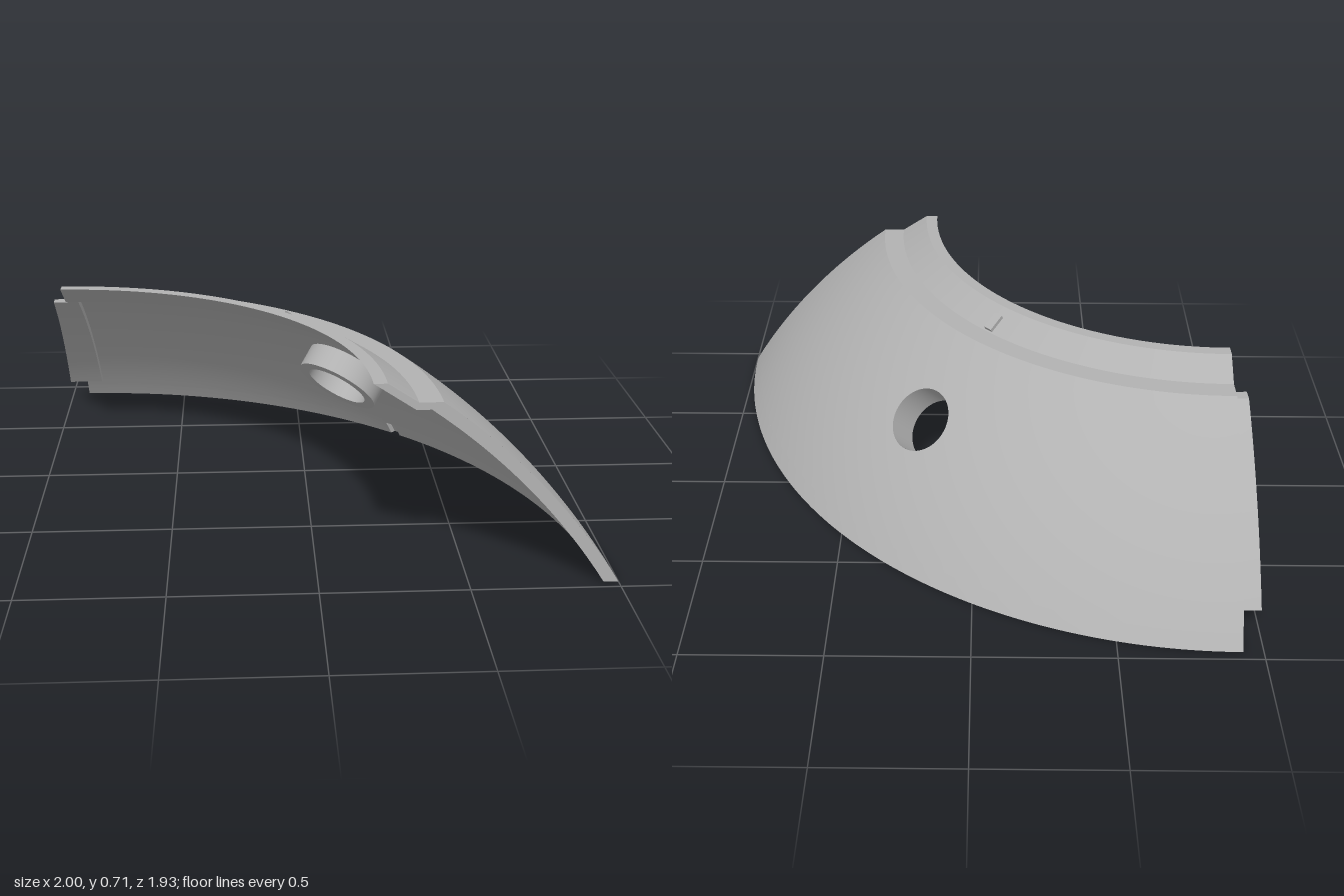
import * as THREE from 'three';

const grey = new THREE.MeshStandardMaterial({ color: 0xb2b2b2, side: THREE.DoubleSide });
grey.name = 'plain grey';

// Spherical shell: centre below the ground, outer and inner radius
const CY = -1.19, R_OUT = 2.267, R_IN = 2.225;
const START = Math.PI / 2, END = Math.PI, MID = START + Math.PI / 4;
const PATCH = 0.16;            // half angle of the panel around the port
const BAND = 0.055;            // height of the band holding the notch
const NOTCH = 0.012;           // half angle of the notch

const radiusAt = (R, y) => Math.sqrt(R * R - (y - CY) ** 2);

function arc(R, y0, y1, n = 20) {
  return Array.from({ length: n + 1 }, (_, i) => {
    const y = y0 + (y1 - y0) * i / n;
    return new THREE.Vector2(radiusAt(R, y), y);
  });
}
const line = (...p) => p.map(([x, y]) => new THREE.Vector2(x, y));

function add(parent, name, geometry) {
  const mesh = new THREE.Mesh(geometry, grey);
  mesh.name = name;
  parent.add(mesh);
  return mesh;
}

function revolve(parent, name, points, a = START, b = END) {
  const n = Math.max(2, Math.ceil((b - a) * 61));
  return add(parent, name, new THREE.LatheGeometry(points, n, a, b - a));
}

// Flat radial face from a closed profile
function endFace(parent, name, points, angle) {
  add(parent, name, new THREE.ShapeGeometry(new THREE.Shape(points))).rotation.y = angle - START;
}

const onSphere = (R, y, phi) => {
  const r = radiusAt(R, y);
  return new THREE.Vector3(r * Math.sin(phi), y - CY, r * Math.cos(phi));
};
const portAxis = onSphere(R_OUT, 0.416, MID).normalize();

// Spherical panel with a round hole, lofted from the hole to its four edges
function holedPanel(R, y0, y1, hole, inward) {
  const SIDE = 20, RINGS = 8, edge = [];
  const corners = [[-1, y0], [1, y0], [1, y1], [-1, y1]];
  for (let s = 0; s < 4; s++) {
    const [u0, v0] = corners[s], [u1, v1] = corners[(s + 1) % 4];
    for (let i = 0; i < SIDE; i++) {
      const t = i / SIDE;
      edge.push(onSphere(R, v0 + (v1 - v0) * t, MID + PATCH * (u0 + (u1 - u0) * t)));
    }
  }
  const pos = [], nor = [], idx = [], N = edge.length, tilt = Math.asin(hole / R);
  for (let k = 0; k <= RINGS; k++) {
    for (const p of edge) {
      const side = p.clone().addScaledVector(portAxis, -p.dot(portAxis)).normalize();
      const rim = portAxis.clone().multiplyScalar(R * Math.cos(tilt)).addScaledVector(side, R * Math.sin(tilt));
      const d = rim.lerp(p, k / RINGS).normalize();
      pos.push(d.x * R, d.y * R + CY, d.z * R);
      nor.push(...d.multiplyScalar(inward ? -1 : 1).toArray());
    }
  }
  for (let k = 0; k < RINGS; k++) {
    for (let i = 0; i < N; i++) {
      const a = k * N + i, b = k * N + (i + 1) % N, c = a + N, d = b + N;
      if (inward) idx.push(a, d, c, a, b, d);
      else idx.push(a, c, d, a, d, b);
    }
  }
  const g = new THREE.BufferGeometry();
  g.setAttribute('position', new THREE.Float32BufferAttribute(pos, 3));
  g.setAttribute('normal', new THREE.Float32BufferAttribute(nor, 3));
  g.setIndex(idx);
  return g;
}

export function createModel() {
  const model = new THREE.Group();
  model.name = 'domeSegment';
  const body = new THREE.Group();
  body.name = 'quarterDome';
  body.position.set(-0.93, 0, 0.965);
  model.add(body);

  const rOut0 = radiusAt(R_OUT, 0), rIn0 = radiusAt(R_IN, 0);
  const rOutTop = radiusAt(R_OUT, 0.65), rInTop = radiusAt(R_IN, 0.625);
  const sides = [[START, MID - PATCH], [MID + PATCH, END]];

  // Curved shell, inside and outside
  revolve(body, 'outerLowerBand', arc(R_OUT, 0, BAND, 3));
  for (const [a, b] of sides) {
    revolve(body, 'outerShell', arc(R_OUT, BAND, 0.65), a, b);
    revolve(body, 'innerShell', arc(R_IN, 0.625, BAND), a, b);
  }
  add(body, 'outerPortPanel', holedPanel(R_OUT, BAND, 0.65, 0.123, false));
  add(body, 'innerPortPanel', holedPanel(R_IN, BAND, 0.625, 0.14, true));

  // Bottom rim, with a small notch in the inner edge
  for (const [a, b] of [[START, MID - NOTCH], [MID + NOTCH, END]]) {
    revolve(body, 'innerLowerBand', arc(R_IN, BAND, 0, 3), a, b);
    revolve(body, 'bottomRim', line([rIn0, 0], [rOut0, 0]), a, b);
  }
  const back = arc(R_IN + 0.02, BAND, 0, 3), front = arc(R_IN, 0, BAND, 3);
  const notchSpan = [MID - NOTCH, MID + NOTCH];
  revolve(body, 'notchBack', back, ...notchSpan);
  revolve(body, 'notchRoof', [front[3], back[0]], ...notchSpan);
  revolve(body, 'notchRim', line([back[3].x, 0], [rOut0, 0]), ...notchSpan);
  for (const angle of notchSpan) endFace(body, 'notchSide', [...back, ...front], angle);

  // Stepped lip around the top opening
  const lip = line([rOutTop, 0.65], [1.245, 0.65], [1.145, 0.715], [1.10, 0.715], [1.237, 0.625], [rInTop, 0.625]);
  for (let i = 0; i < lip.length - 1; i++) revolve(body, 'topLip', [lip[i], lip[i + 1]]);

  // Flat end faces
  const section = [...arc(R_OUT, 0, 0.65), ...lip.slice(1, -1), ...arc(R_IN, 0.625, 0)];
  for (const angle of [START, END]) endFace(body, 'endFace', section, angle);

  // Overlapping joint tab under one end
  const tabOuter = arc(R_IN - 0.001, 0.09, 0.62), tabInner = arc(R_IN - 0.026, 0.62, 0.09);
  const tabSpan = [END - 0.0385, END + 0.0385];
  const tabLoop = [tabOuter, [tabOuter[20], tabInner[0]], tabInner, [tabInner[20], tabOuter[0]]];
  for (const run of tabLoop) revolve(body, 'jointTab', run, ...tabSpan);
  for (const angle of tabSpan) endFace(body, 'jointTabSide', [...tabOuter, ...tabInner], angle);

  // Port sleeve reaching inwards, square to the shell
  const sleeve = new THREE.Group();
  sleeve.name = 'portSleeve';
  sleeve.position.copy(portAxis).multiplyScalar(R_OUT);
  sleeve.position.y += CY;
  sleeve.quaternion.setFromUnitVectors(new THREE.Vector3(0, 1, 0), portAxis);
  body.add(sleeve);
  const ring = line([0.123, -0.0033], [0.123, -0.14], [0.165, -0.14], [0.165, -0.007]);
  for (let i = 0; i < 3; i++) {
    add(sleeve, 'sleeveWall', new THREE.LatheGeometry([ring[i], ring[i + 1]], 64));
  }

  // Locating key on the sloped lip
  const key = add(body, 'locatingKey', new THREE.BoxGeometry(0.07, 0.028, 0.036));
  key.position.set(1.21 * Math.sin(MID), 0.673, 1.21 * Math.cos(MID));
  key.rotation.set(0, Math.PI / 4, -0.58);

  return model;
}
